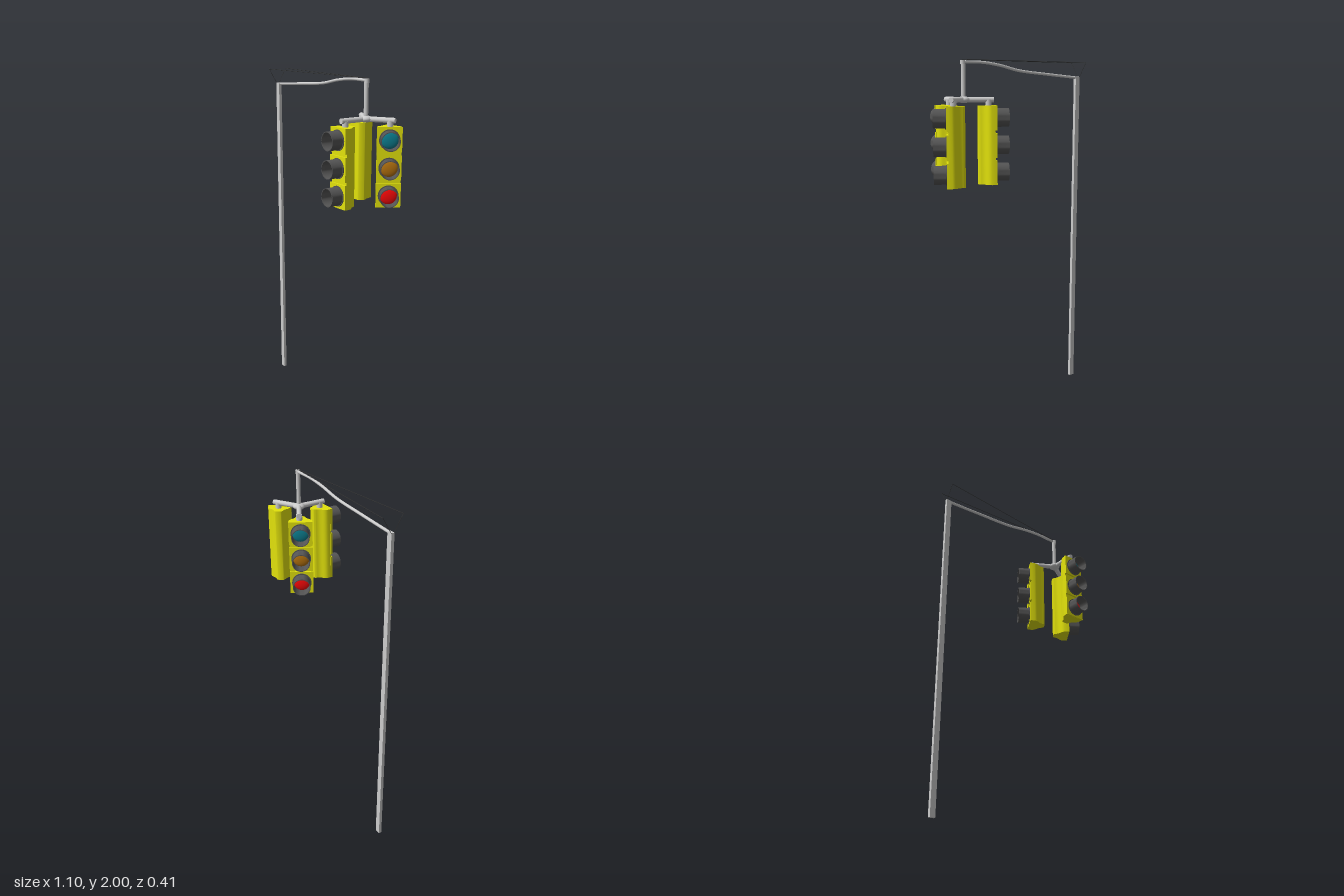
import * as THREE from 'three';
import { toCreasedNormals } from 'three/addons/utils/BufferGeometryUtils.js';

const mat = (color, side = THREE.FrontSide) => new THREE.MeshStandardMaterial({ color, side });
const metal = mat(0xcccccc);
const yellow = mat(0xe2e20c);
const dark = mat(0x555555, THREE.DoubleSide);
const wireMat = mat(0x333333);
const lensMats = [mat(0x0c8092), mat(0xb8740f), mat(0xff0808)];

const HUB = new THREE.Vector3(0.316, 1.788, -0.045);

function add(parent, name, geometry, material, x = 0, y = 0, z = 0) {
  const mesh = new THREE.Mesh(geometry, material);
  mesh.name = name;
  mesh.position.set(x, y, z);
  parent.add(mesh);
  return mesh;
}

// Straight round rod between two points
function rod(parent, name, a, b, radius, material, sides = 16) {
  const dir = b.clone().sub(a);
  const mesh = add(parent, name, new THREE.CylinderGeometry(radius, radius, dir.length(), sides), material);
  mesh.position.copy(a).add(b).multiplyScalar(0.5);
  mesh.quaternion.setFromUnitVectors(new THREE.Vector3(0, 1, 0), dir.normalize());
  return mesh;
}

// Bell-shaped plan of the housing, extruded upwards (back is shape +y)
function housingGeometry(height) {
  const s = new THREE.Shape();
  s.moveTo(-0.064, -0.008);
  s.lineTo(0.064, -0.008);
  s.lineTo(0.064, 0.012);
  s.bezierCurveTo(0.06, 0.038, 0.034, 0.038, 0.026, 0.068);
  s.quadraticCurveTo(0.022, 0.08, 0.012, 0.081);
  s.lineTo(-0.012, 0.081);
  s.quadraticCurveTo(-0.022, 0.08, -0.026, 0.068);
  s.bezierCurveTo(-0.034, 0.038, -0.06, 0.038, -0.064, 0.012);
  s.closePath();
  const g = new THREE.ExtrudeGeometry(s, { depth: height, bevelEnabled: false, curveSegments: 8 });
  g.rotateX(-Math.PI / 2);
  return toCreasedNormals(g, 0.6);
}

// One three-lamp head, facing +z, with its origin under the arm end
function signalHead() {
  const head = new THREE.Group();
  head.name = 'signalHead';
  add(head, 'housing', housingGeometry(0.424), yellow, 0, 1.333, 0);

  const visorProfile = [[0.046, 0], [0.046, 0.07], [0.05, 0.07], [0.05, 0.006], [0.055, 0.006], [0.055, 0]]
    .map(([r, h]) => new THREE.Vector2(r, h));
  const visorGeo = toCreasedNormals(new THREE.LatheGeometry(visorProfile, 32).rotateX(Math.PI / 2), 0.6);
  const lensGeo = new THREE.SphereGeometry(0.047, 28, 8, 0, Math.PI * 2, 0, Math.PI / 2);
  lensGeo.rotateX(Math.PI / 2).scale(1, 1, 0.3);

  [1.693, 1.546, 1.399].forEach((y, i) => {
    add(head, 'door', new THREE.BoxGeometry(0.132, 0.131, 0.012), yellow, 0, y, 0.012);
    add(head, 'visor', visorGeo, dark, 0, y, 0.017);
    add(head, 'lens', lensGeo, lensMats[i], 0, y, 0.018);
  });
  return head;
}

export function createModel() {
  const model = new THREE.Group();
  model.name = 'hangingTrafficLight';

  // Post and rising mast arm
  add(model, 'post', new THREE.BoxGeometry(0.032, 1.915, 0.018), metal, -0.537, 0.9575, -0.045);
  const path = new THREE.CatmullRomCurve3([
    [-0.553, 1.908], [-0.3, 1.926], [-0.07, 1.945], [0.06, 1.97], [0.18, 1.984], [0.325, 1.985],
  ].map(([x, y]) => new THREE.Vector3(x, y, -0.046)));
  add(model, 'mastArm', new THREE.TubeGeometry(path, 40, 0.008, 10), metal);
  add(model, 'armEnd', new THREE.CylinderGeometry(0.013, 0.013, 0.022, 16), metal, HUB.x + 0.003, 1.983, HUB.z);

  // Two stay wires spread from the post top
  for (const side of [-1, 1]) {
    const spread = new THREE.Vector3(-0.551, 1.998, -0.046 + side * 0.059);
    rod(model, 'stayWire', new THREE.Vector3(0.325, 1.997, -0.046), spread, 0.0016, wireMat, 6);
    rod(model, 'stayWireDrop', spread, new THREE.Vector3(-0.551, 1.9, -0.046), 0.0012, wireMat, 6);
  }

  // Hanger and hub
  rod(model, 'hanger', HUB, new THREE.Vector3(HUB.x, 1.98, HUB.z), 0.012, metal);
  const hub = add(model, 'hub', new THREE.SphereGeometry(0.034, 20, 12), metal, HUB.x, HUB.y, HUB.z);
  hub.scale.y = 0.55;

  // Three brackets, each carrying a head; one head is turned towards the front
  const heads = [
    { bracket: 0, facing: 0, x: 0.315, z: 0.118 },
    { bracket: -120, facing: -121, x: 0.177, z: -0.119 },
    { bracket: 120, facing: 55, x: 0.447, z: -0.098 },
  ];
  for (const { bracket, facing, x, z } of heads) {
    const arm = new THREE.Group();
    arm.name = 'bracket';
    arm.position.copy(HUB);
    arm.rotation.y = THREE.MathUtils.degToRad(bracket);
    const V = (a, b, c) => new THREE.Vector3(a, b, c);
    rod(arm, 'bracketTube', V(0, 0, 0), V(0, 0, 0.163), 0.0145, metal);
    rod(arm, 'bracketStub', V(0, -0.045, 0.135), V(0, 0, 0.135), 0.017, metal);
    model.add(arm);

    const head = signalHead();
    head.position.set(x, 0, z);
    head.rotation.y = THREE.MathUtils.degToRad(facing);
    model.add(head);
  }
  return model;
}
